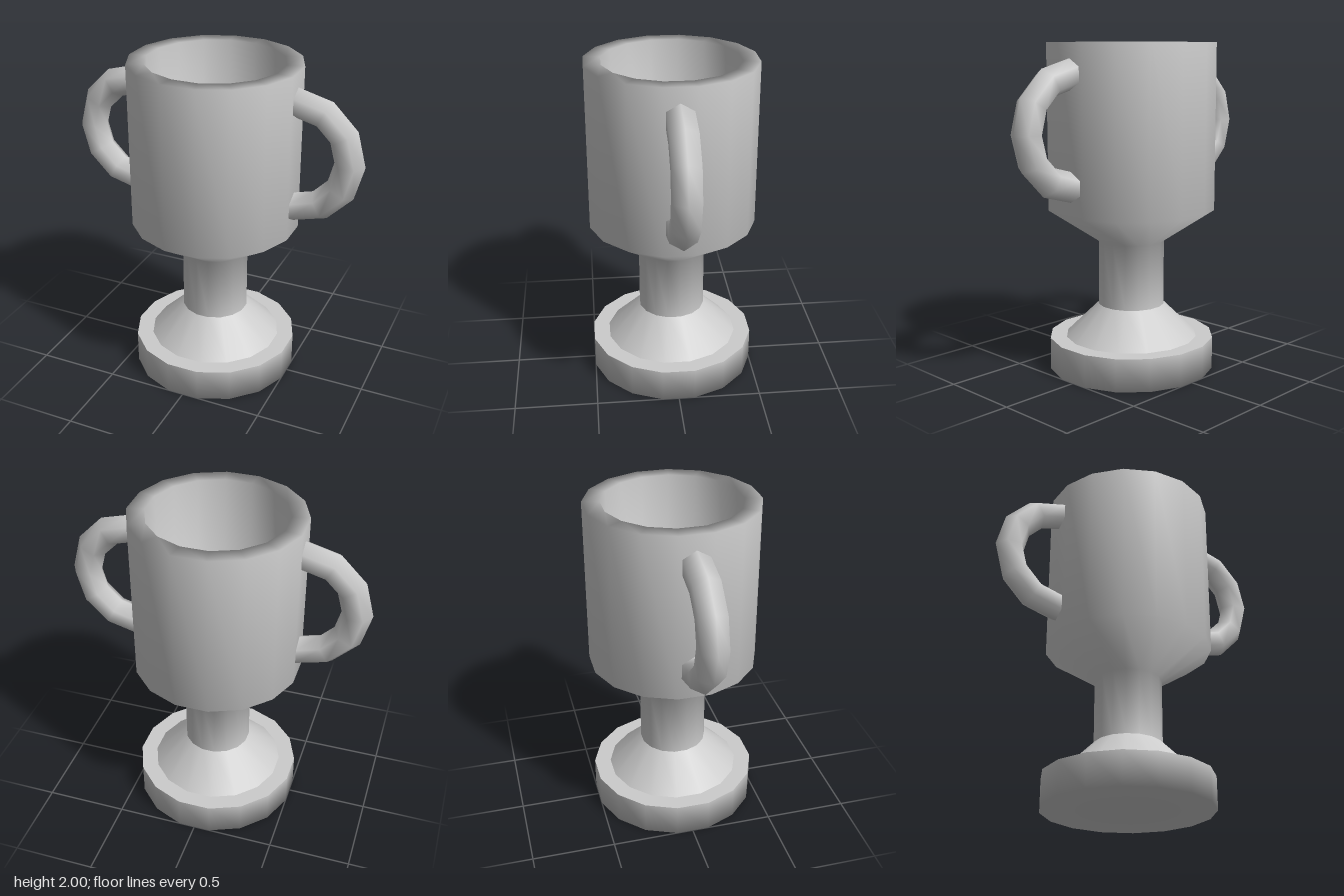
import * as THREE from 'three';

const SIDES = 16;
const K = 1 / Math.cos(Math.PI / SIDES); // across-flats radius to corner radius

export function createModel() {
  const group = new THREE.Group();
  const material = new THREE.MeshStandardMaterial({ color: 0xcccccc });

  const add = (name, geometry) => {
    const mesh = new THREE.Mesh(geometry, material);
    mesh.name = name;
    group.add(mesh);
    return mesh;
  };
  // Sixteen-sided turned part with flats facing the axes; profile is [radius, y]
  const turn = (name, profile) => add(name, new THREE.LatheGeometry(
    profile.map(([r, y]) => new THREE.Vector2(r * K, y)), SIDES, Math.PI / SIDES));

  // Foot: plinth with its underside, flat ledge and sloped collar
  turn('plinth', [[0, 0], [0.5, 0], [0.5, 0.2]]);
  turn('plinthLedge', [[0.5, 0.2], [0.4, 0.2]]);
  turn('collar', [[0.4, 0.2], [0.2, 0.4]]);

  // Stem flowing into the bowl, over the rim and down to the inner floor
  turn('stemAndBowl', [
    [0.2, 0.4], [0.2, 0.8], [0.5, 1], [0.5, 2],
    [0.4, 2], [0.4, 1], [0, 1],
  ]);

  // Half-ring handles with a hexagonal section
  for (const side of [1, -1]) {
    const handle = add(side > 0 ? 'leftHandle' : 'rightHandle',
      new THREE.TorusGeometry(0.32, 0.09, 6, 6, Math.PI));
    handle.rotation.z = -side * Math.PI / 2;
    handle.position.set(side * 0.5, 1.5, 0);
  }
  return group;
}
